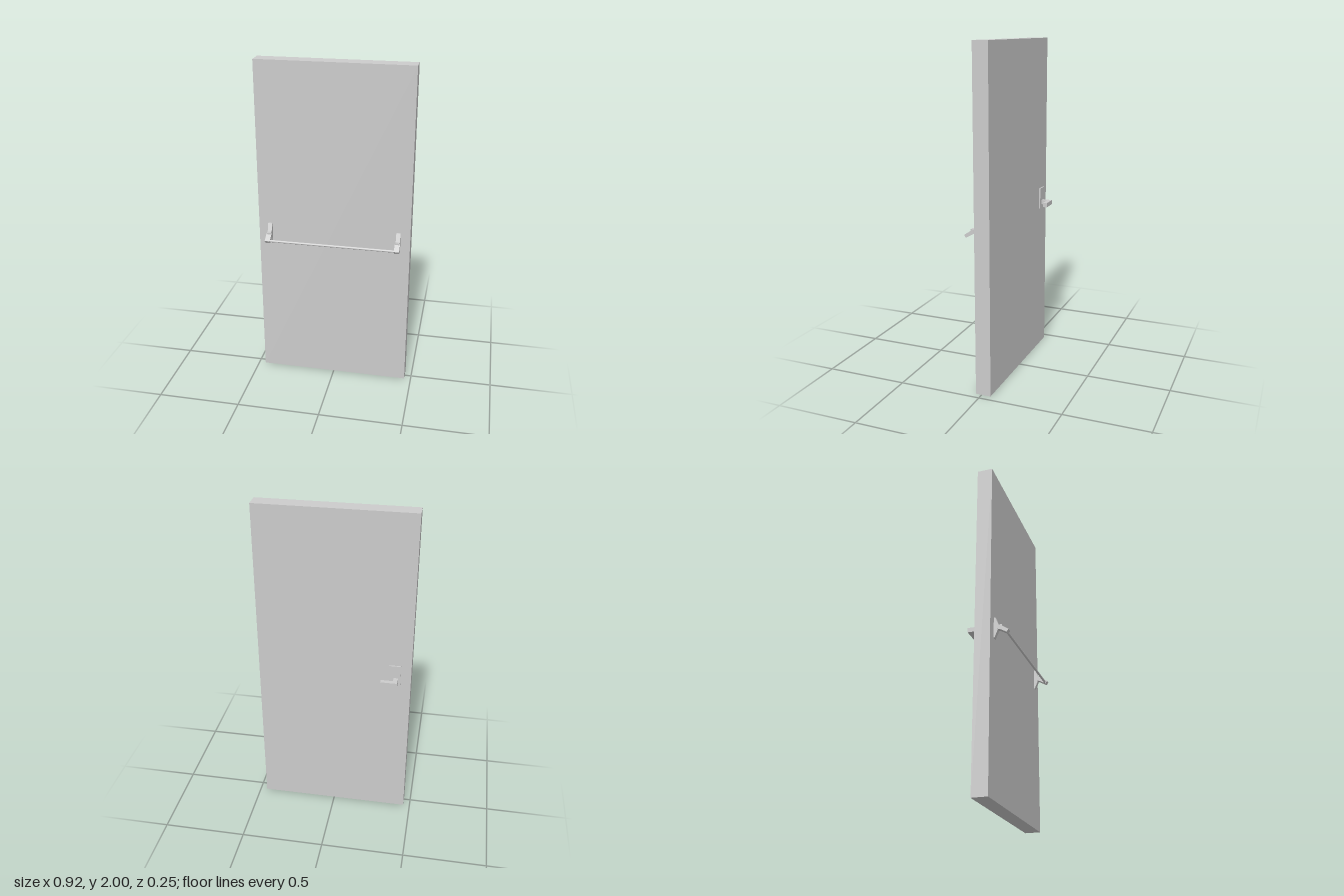
import * as THREE from 'three';

export function createModel() {
  const group = new THREE.Group();
  const mat = new THREE.MeshStandardMaterial({ color: 0xcccccc });

  const add = (name, geometry, parent = group) => {
    const mesh = new THREE.Mesh(geometry, mat);
    mesh.name = name;
    parent.add(mesh);
    return mesh;
  };

  // box given by its minimum and maximum corners
  const box = (name, a, b, parent) => {
    const size = a.map((v, i) => b[i] - v);
    const mesh = add(name, new THREE.BoxGeometry(...size), parent);
    mesh.position.set(...a.map((v, i) => (v + b[i]) / 2));
    return mesh;
  };

  // side profile of [z, y] points, extruded along x and centred on x
  const sideProfile = (name, points, width, x, parent) => {
    const shape = new THREE.Shape(points.map(([z, y]) => new THREE.Vector2(-z, y)));
    const geometry = new THREE.ExtrudeGeometry(shape, { depth: width, bevelEnabled: false });
    geometry.translate(0, 0, -width / 2).rotateY(Math.PI / 2);
    const mesh = add(name, geometry, parent);
    mesh.position.x = x;
    return mesh;
  };

  // door leaf
  box('doorLeaf', [-0.459, 0, -0.056], [0.459, 2, 0.036]);

  // push bar: a hinged arm on a wall bracket at each end
  const pushBar = new THREE.Group();
  pushBar.name = 'pushBar';
  group.add(pushBar);
  const bracket = [
    [0.035, 0.893], [0.041, 0.893], [0.06, 0.94], [0.083, 0.95],
    [0.083, 0.969], [0.063, 0.969], [0.045, 1.016], [0.035, 1.016],
  ];
  const arm = [
    [0.06, 0.946], [0.112, 0.916], [0.123, 0.932], [0.082, 0.96], [0.068, 0.963],
  ];
  for (const side of [-1, 1]) {
    const end = side < 0 ? 'right' : 'left';
    sideProfile(end + 'Bracket', bracket, 0.025, side * 0.389, pushBar);
    sideProfile(end + 'Arm', arm, 0.031, side * 0.389, pushBar);
  }
  const rod = add('rod', new THREE.CylinderGeometry(0.007, 0.007, 0.76, 16), pushBar);
  rod.rotation.z = Math.PI / 2;
  rod.position.set(0, 0.928, 0.107);

  // lever handle on the back
  const handle = new THREE.Group();
  handle.name = 'leverHandle';
  group.add(handle);
  box('handlePlate', [-0.398, 0.935, -0.065], [-0.329, 1.065, -0.055], handle);
  // L-shaped stem and lever, seen from above as [x, z]
  const lever = new THREE.Shape([
    [-0.384, -0.064], [-0.384, -0.125], [-0.285, -0.125],
    [-0.285, -0.099], [-0.357, -0.099], [-0.357, -0.064],
  ].map(([x, z]) => new THREE.Vector2(x, -z)));
  const leverGeometry = new THREE.ExtrudeGeometry(lever, { depth: 0.027, bevelEnabled: false });
  leverGeometry.rotateX(-Math.PI / 2);
  add('lever', leverGeometry, handle).position.y = 0.958;

  return group;
}
